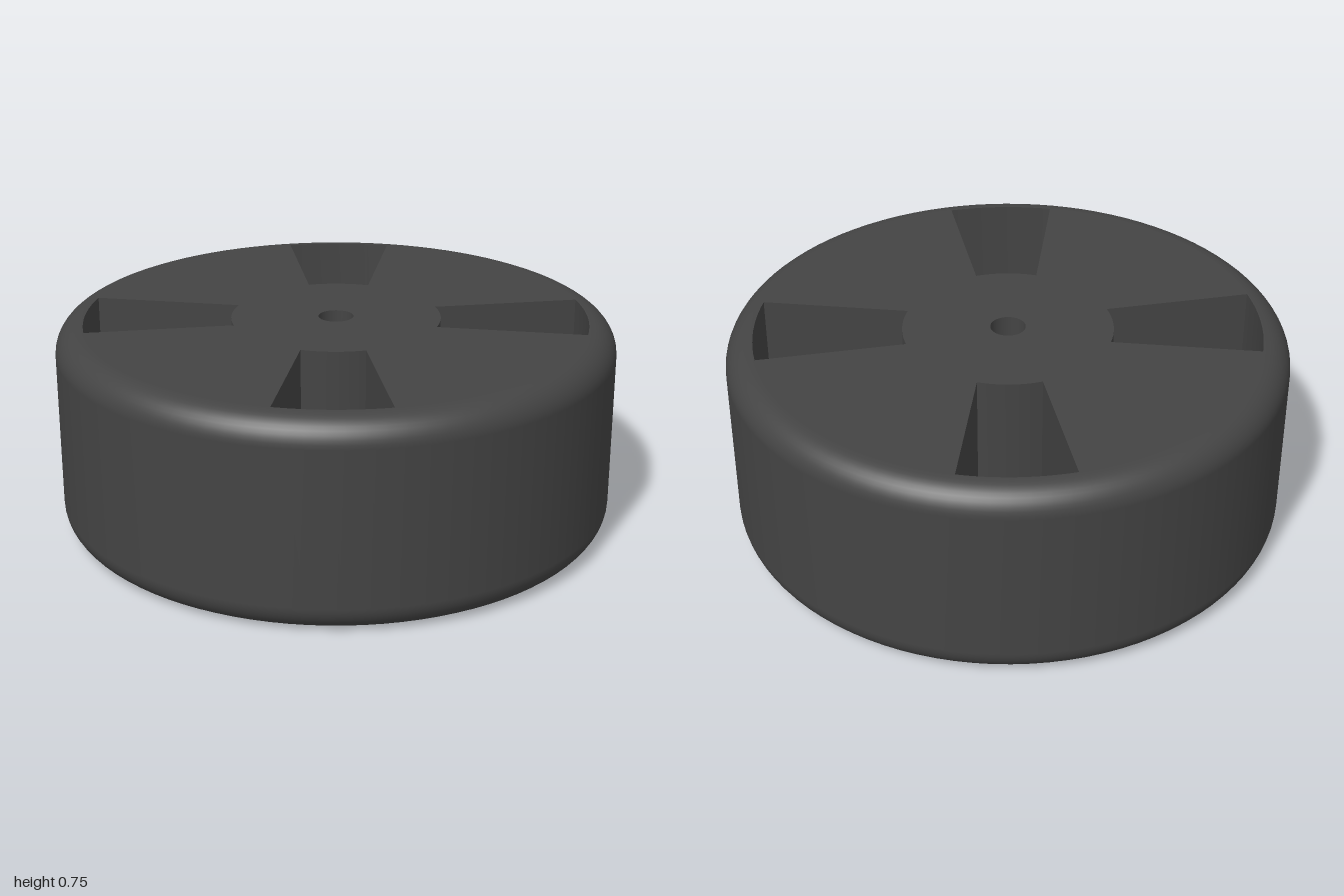
import * as THREE from 'three';
import { toCreasedNormals } from 'three/addons/utils/BufferGeometryUtils.js';

const HEIGHT = 0.746, FILLET = 0.095, FLAT = 1 - FILLET, SEGMENTS = 96;

// Points along an arc about the axis, angles in degrees
function arc(radius, from, to, steps) {
  return Array.from({ length: steps + 1 }, (_, i) => {
    const a = THREE.MathUtils.degToRad(from + (to - from) * i / steps);
    return new THREE.Vector2(radius * Math.cos(a), radius * Math.sin(a));
  });
}

// Upright wall around a counter-clockwise loop, facing into the opening
function openingWall(loop) {
  const pos = [];
  loop.forEach((a, i) => {
    const b = loop[(i + 1) % loop.length];
    pos.push(a.x, 0, -a.y, b.x, HEIGHT, -b.y, b.x, 0, -b.y);
    pos.push(a.x, 0, -a.y, a.x, HEIGHT, -a.y, b.x, HEIGHT, -b.y);
  });
  const geo = new THREE.BufferGeometry();
  geo.setAttribute('position', new THREE.Float32BufferAttribute(pos, 3));
  return toCreasedNormals(geo, 0.6);
}

export function createModel() {
  const group = new THREE.Group();
  const material = new THREE.MeshStandardMaterial({ color: 0x444444 });
  const add = (name, geo) => {
    const mesh = new THREE.Mesh(geo, material);
    mesh.name = name;
    group.add(mesh);
    return mesh;
  };

  // Rounded outer tread
  const profile = [
    ...arc(FILLET, -90, 0, 10).map(p => new THREE.Vector2(FLAT + p.x, FILLET + p.y)),
    ...arc(FILLET, 0, 90, 10).map(p => new THREE.Vector2(FLAT + p.x, HEIGHT - FILLET + p.y)),
  ];
  add('tread', new THREE.LatheGeometry(profile, SEGMENTS));

  // Axle bore and four tapered windows between the spokes
  const bore = arc(0.063, 0, 360, 32).slice(0, -1);
  const windows = [0, 90, 180, 270].map(t => [
    ...arc(0.9, t + 18.7, t + 43.7, 10),
    ...arc(0.375, t + 47.7, t + 13.1, 10),
  ]);
  add('axleBore', openingWall(bore));
  windows.forEach((loop, i) => add('spokeWindow' + (i + 1), openingWall(loop)));

  // Flat faces with the openings cut out
  const shape = new THREE.Shape(arc(FLAT, 0, 360, SEGMENTS).slice(0, -1));
  shape.holes = [bore, ...windows].map(loop => new THREE.Path(loop));
  const top = new THREE.ShapeGeometry(shape).rotateX(-Math.PI / 2);
  const bottom = top.clone();
  bottom.index.array.reverse();
  bottom.computeVertexNormals();
  add('topFace', top).position.y = HEIGHT;
  add('bottomFace', bottom);

  return group;
}
